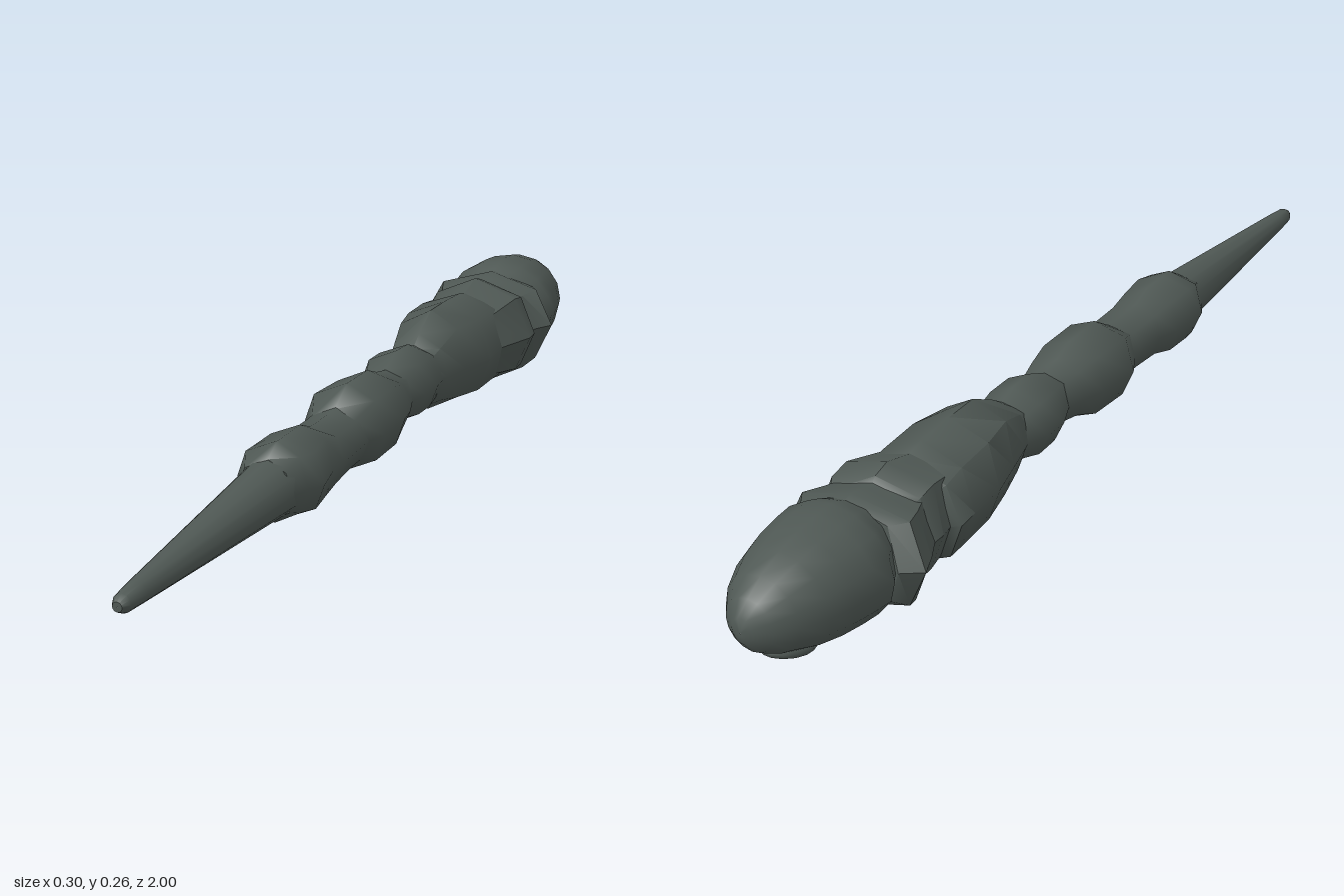
import * as THREE from 'three';
import { toCreasedNormals } from 'three/addons/utils/BufferGeometryUtils.js';

const AXIS_Y = 0.147;

// Skin through rings [z, left(-x), right(+x), top, bottom] running from +z to -z.
// jag pushes alternate corners along z so plate rims look broken.
function shell(rings, sides, crease, jag = 0) {
  const pos = [], index = [];
  const first = rings[0], last = rings[rings.length - 1];
  const e = 0.0005;
  const all = [[first[0], e, e, e, e], ...rings, [last[0], e, e, e, e]];
  all.forEach(([z, l, r, t, b], i) => {
    const capped = i === 0 || i === all.length - 1;
    for (let j = 0; j < sides; j++) {
      const a = (j / sides) * Math.PI * 2;
      const c = Math.cos(a), s = Math.sin(a);
      const dz = capped ? 0 : jag * Math.sin(j * 2.3 + i * 0.4);
      pos.push(c * (c > 0 ? r : l), AXIS_Y + s * (s > 0 ? t : b), z + dz);
    }
  });
  for (let i = 0; i < all.length - 1; i++) {
    for (let j = 0; j < sides; j++) {
      const k = (j + 1) % sides;
      const a = i * sides + j, c = i * sides + k;
      index.push(a, a + sides, c, a + sides, c + sides, c);
    }
  }
  const g = new THREE.BufferGeometry();
  g.setAttribute('position', new THREE.Float32BufferAttribute(pos, 3));
  g.setIndex(index);
  return toCreasedNormals(g, crease);
}

export function createModel() {
  const group = new THREE.Group();
  const hide = new THREE.MeshStandardMaterial({ color: 0x4f5854 });
  hide.name = 'darkGreyGreen';

  function add(name, geometry, parent = group) {
    const mesh = new THREE.Mesh(geometry, hide);
    mesh.name = name;
    parent.add(mesh);
    return mesh;
  }

  // Long tapering sting with a rounded point
  add('tailSpike', shell([
    [1.0, 0.009, 0.009, 0.009, 0.009],
    [0.985, 0.017, 0.017, 0.017, 0.017],
    [0.94, 0.022, 0.022, 0.021, 0.02],
    [0.44, 0.058, 0.058, 0.056, 0.056],
  ], 12, 1.0));

  // Knobbly tail segments
  add('tailSegmentRear', shell([
    [0.47, 0.056, 0.056, 0.056, 0.056],
    [0.43, 0.08, 0.066, 0.078, 0.074],
    [0.4, 0.08, 0.084, 0.077, 0.078],
    [0.33, 0.078, 0.07, 0.077, 0.078],
    [0.28, 0.062, 0.07, 0.058, 0.066],
    [0.2, 0.062, 0.068, 0.056, 0.06],
    [0.13, 0.064, 0.066, 0.06, 0.062],
  ], 8, 1.0, 0.008));
  add('tailSegmentMiddle', shell([
    [0.18, 0.058, 0.06, 0.056, 0.056],
    [0.12, 0.09, 0.084, 0.09, 0.084],
    [0.02, 0.082, 0.084, 0.086, 0.085],
    [-0.03, 0.066, 0.076, 0.068, 0.062],
    [-0.09, 0.054, 0.056, 0.056, 0.054],
  ], 8, 1.0, 0.008));
  add('tailSegmentFront', shell([
    [-0.07, 0.054, 0.054, 0.058, 0.054],
    [-0.13, 0.08, 0.068, 0.082, 0.068],
    [-0.19, 0.082, 0.07, 0.078, 0.07],
    [-0.23, 0.068, 0.066, 0.064, 0.06],
    [-0.27, 0.06, 0.06, 0.06, 0.058],
  ], 8, 1.0, 0.006));

  // Swollen body behind the collars
  add('body', shell([
    [-0.21, 0.058, 0.058, 0.058, 0.056],
    [-0.25, 0.07, 0.07, 0.082, 0.08],
    [-0.32, 0.09, 0.084, 0.115, 0.1],
    [-0.4, 0.112, 0.108, 0.113, 0.11],
    [-0.49, 0.118, 0.104, 0.107, 0.117],
    [-0.54, 0.122, 0.108, 0.095, 0.117],
    [-0.56, 0.1, 0.1, 0.085, 0.1],
    [-0.7, 0.1, 0.1, 0.09, 0.1],
  ], 8, 0.85, 0.008));

  // Two jagged flaring collars
  add('rearCollar', shell([
    [-0.46, 0.09, 0.095, 0.085, 0.095],
    [-0.58, 0.112, 0.137, 0.115, 0.118],
    [-0.62, 0.112, 0.135, 0.104, 0.12],
    [-0.64, 0.1, 0.115, 0.09, 0.1],
  ], 8, 0.7, 0.014));
  add('frontCollar', shell([
    [-0.58, 0.095, 0.105, 0.09, 0.11],
    [-0.65, 0.135, 0.128, 0.098, 0.143],
    [-0.69, 0.153, 0.151, 0.104, 0.125],
    [-0.715, 0.115, 0.125, 0.1, 0.11],
  ], 8, 0.7, 0.012));

  // Smooth domed head
  add('head', shell([
    [-0.7, 0.095, 0.095, 0.095, 0.095],
    [-0.725, 0.108, 0.108, 0.106, 0.104],
    [-0.75, 0.125, 0.127, 0.113, 0.108],
    [-0.79, 0.121, 0.123, 0.112, 0.105],
    [-0.84, 0.113, 0.115, 0.107, 0.099],
    [-0.89, 0.1, 0.102, 0.095, 0.088],
    [-0.94, 0.076, 0.078, 0.076, 0.07],
    [-0.975, 0.049, 0.05, 0.052, 0.05],
    [-0.994, 0.022, 0.022, 0.025, 0.025],
    [-1.0, 0.004, 0.004, 0.004, 0.004],
  ], 16, 1.1));

  // Mouth under the head: raised lips around small lumps
  const mouth = new THREE.Group();
  mouth.name = 'mouth';
  mouth.position.set(0, 0.059, -0.885);
  mouth.rotation.x = 0.27;
  group.add(mouth);
  const lips = add('lips', new THREE.TorusGeometry(0.042, 0.009, 6, 14), mouth);
  lips.rotation.x = Math.PI / 2;
  lips.scale.set(0.85, 1.2, 1);
  for (const [x, z] of [[-0.016, -0.018], [0.016, -0.018], [0, 0.018]]) {
    const lump = add('mouthLump', new THREE.SphereGeometry(0.012, 8, 6), mouth);
    lump.position.set(x, -0.001, z);
    lump.scale.y = 0.7;
  }
  return group;
}
